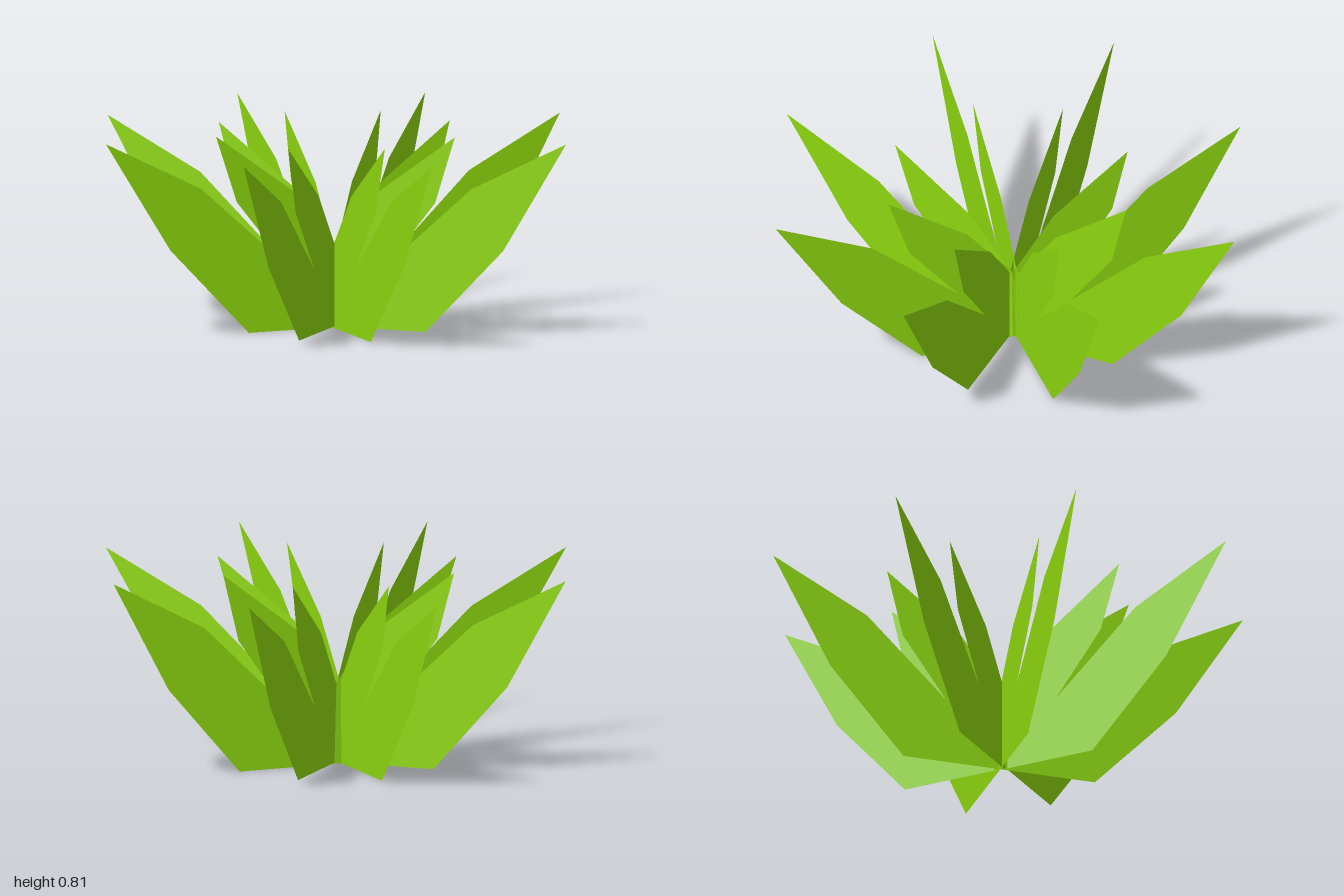
import * as THREE from 'three';

const TOP = 0.815;

// Twin-tipped leaf outline: distance from the centre, height
const OUTLINE = [
  [0, 0], [0.405, 0], [0.735, 0.36], [1, TOP], [0.59, 0.605], [0.235, 0.275],
  [0.435, 0.54], [0.515, TOP], [0.185, 0.57], [0, 0.33],
];

// Each leaf: name, turn in degrees, root x, root z, outward shift of the foot, foot height
const LEAVES = [
  ['leftLeaf', 0, 0, -0.033, 0.038, 0],
  ['backLeftLeaf', 45, -0.005, -0.012, 0.05, 0.008],
  ['backLeaf', 90, -0.005, 0, 0.04, 0],
  ['backRightLeaf', 135, 0.005, 0, 0.02, 0],
  ['rightLeaf', 180, 0, -0.033, -0.035, 0],
  ['frontRightLeaf', 225, 0, -0.008, -0.012, 0.008],
  ['frontLeaf', 270, -0.005, 0, -0.035, 0],
  ['frontLeftLeaf', 315, 0.004, 0, -0.018, 0.008],
];

// Flat leaf whose foot slides in or out while the tips stay put
function leafGeometry(shift, foot) {
  const points = OUTLINE.map(([r, y]) =>
    new THREE.Vector2(r + shift * (1 - y / TOP), Math.max(y, foot)));
  return new THREE.ShapeGeometry(new THREE.Shape(points));
}

export function createModel() {
  const group = new THREE.Group();
  group.name = 'leafyPlant';
  const green = new THREE.MeshStandardMaterial({ color: 0x8fd80f, side: THREE.DoubleSide });

  // Eight upright leaves radiating from the middle
  for (const [name, turn, x, z, shift, foot] of LEAVES) {
    const leaf = new THREE.Mesh(leafGeometry(shift, foot), green);
    leaf.name = name;
    leaf.position.set(x, 0, z);
    leaf.rotation.y = THREE.MathUtils.degToRad(turn + 1.5);
    group.add(leaf);
  }
  return group;
}
